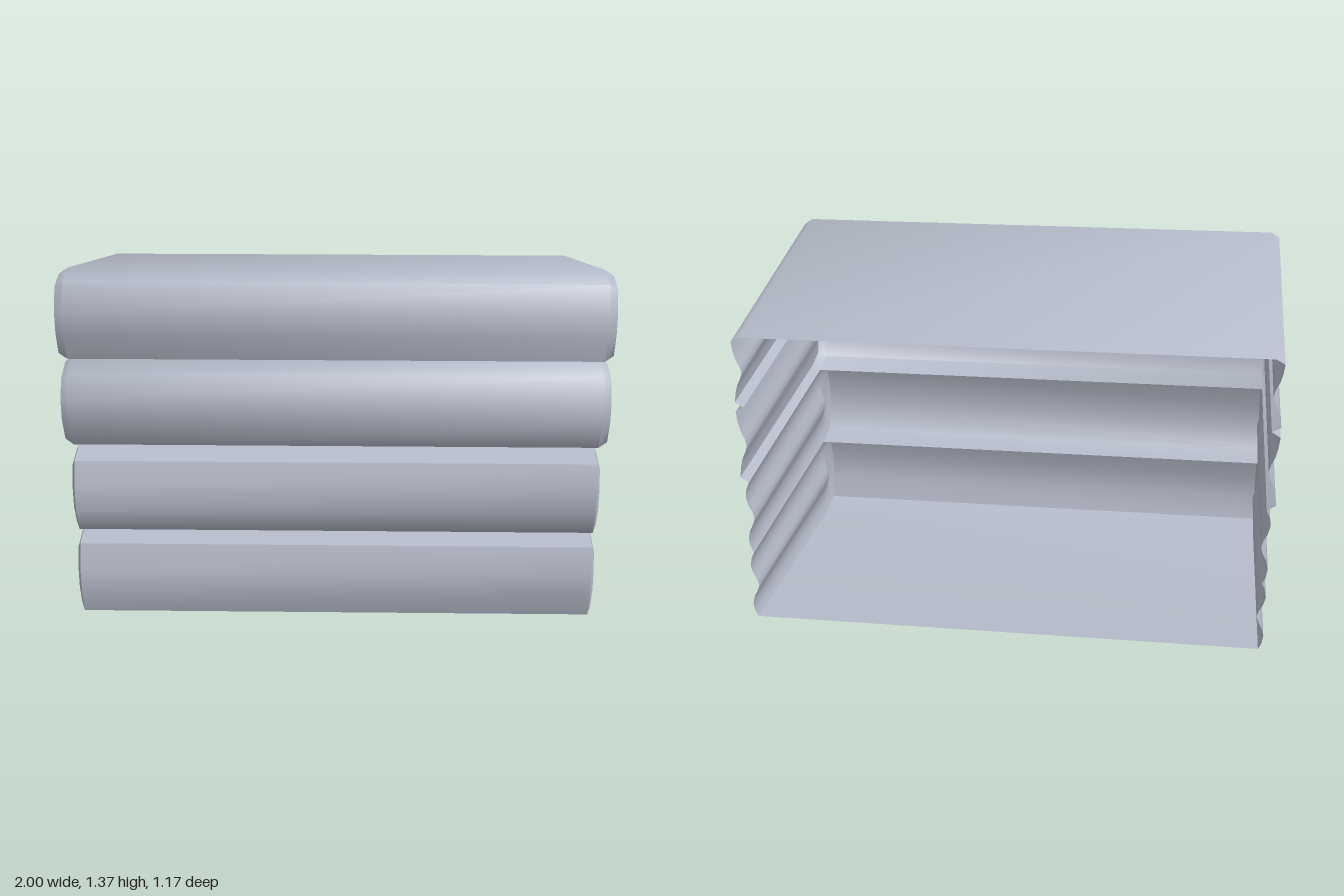
import * as THREE from 'three';
import { toCreasedNormals } from 'three/addons/utils/BufferGeometryUtils.js';

const BACK = -0.585;

// Each fold: [z, y] front outline from bottom to top, plus its heights at the back edge
const FOLDS = [
  { back: [0.01, 0.283], front: [[0.44, 0.003], [0.555, 0.033], [0.585, 0.13], [0.585, 0.22], [0.555, 0.32], [0.44, 0.348]] },
  { back: [0.283, 0.577], front: [[0.44, 0.348], [0.55, 0.378], [0.585, 0.47], [0.585, 0.57], [0.555, 0.66], [0.44, 0.69]] },
  { back: [0.577, 0.88], front: [[0.44, 0.69], [0.545, 0.722], [0.585, 0.825], [0.585, 0.915], [0.54, 0.995], [0.44, 1.032]] },
  { back: [0.88, 1.15], front: [[0.44, 1.032], [0.555, 1.06], [0.585, 1.155], [0.585, 1.25], [0.54, 1.342], [0.44, 1.368]] },
];

// Side cap rings: [x, scale about the fold's middle line]; the centre is a shallow groove
const SOFT_CAP = [[0.956, 0], [0.963, 0.17], [0.977, 0.36], [0.985, 0.58], [0.98, 0.82], [0.968, 1]];
const CRISP_CAP = [[0.966, 0], [0.973, 0.17], [0.986, 0.36], [0.995, 0.6], [1, 0.87], [0.968, 1]];

function foldGeometry({ back, front }, cap, hasBottom, hasTop) {
  const outline = [[BACK, back[0]], ...front, [BACK, back[1]]];
  const rings = [...cap, ...cap.map(([x, s]) => [-x, s]).reverse()];
  const last = outline.length - 2;
  const midBack = (back[0] + back[1]) / 2;
  const midFront = (front[0][1] + front[5][1]) / 2;

  const point = (i, j) => {
    const [x, s] = rings[i];
    const [z, y] = outline[j];
    const atBack = z === BACK;
    const cz = atBack ? BACK : 0.455;
    const cy = atBack ? midBack : midFront;
    return new THREE.Vector3(x, cy + (y - cy) * s, cz + (z - cz) * s);
  };

  const positions = [];
  const addTriangle = (...corners) => {
    if (new THREE.Triangle(...corners).getArea() < 1e-8) return;
    corners.forEach((p) => positions.push(p.x, p.y, p.z));
  };

  for (let i = 0; i < rings.length - 1; i++) {
    const span = i === cap.length - 1;
    for (let j = 0; j <= last; j++) {
      // Inner folds have no sheet across the hollow inside
      if (span && ((j === 0 && !hasBottom) || (j === last && !hasTop))) continue;
      const a = point(i, j), b = point(i + 1, j);
      const c = point(i, j + 1), d = point(i + 1, j + 1);
      addTriangle(b, a, c);
      addTriangle(b, c, d);
    }
  }

  const geometry = new THREE.BufferGeometry();
  geometry.setAttribute('position', new THREE.Float32BufferAttribute(positions, 3));
  return toCreasedNormals(geometry, THREE.MathUtils.degToRad(55));
}

export function createModel() {
  const group = new THREE.Group();
  group.name = 'foldedShell';
  const material = new THREE.MeshStandardMaterial({ color: 0xb4bac8, side: THREE.DoubleSide });
  material.name = 'paleGrey';

  // Four stacked folds forming a hollow shell that is open at the back
  const names = ['bottomFold', 'lowerFold', 'upperFold', 'topFold'];
  FOLDS.forEach((fold, k) => {
    const cap = k < 2 ? SOFT_CAP : CRISP_CAP;
    const mesh = new THREE.Mesh(foldGeometry(fold, cap, k === 0, k === 3), material);
    mesh.name = names[k];
    group.add(mesh);
  });
  return group;
}
